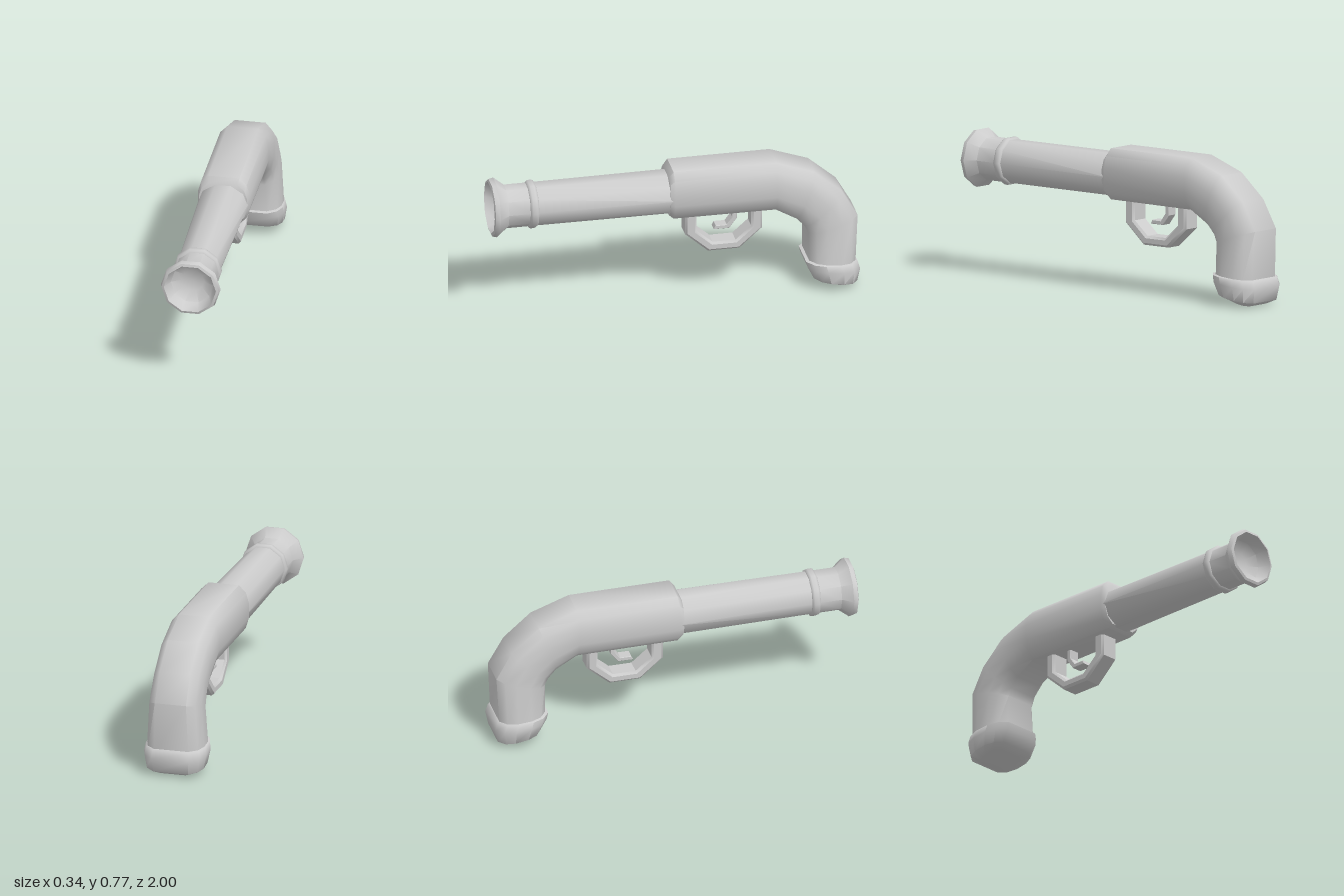
import * as THREE from 'three';
import { toCreasedNormals } from 'three/addons/utils/BufferGeometryUtils.js';

const material = new THREE.MeshStandardMaterial({ color: 0xcccccc });

// Cross-section outlines in unit coordinates, counter-clockwise
const decagon = Array.from({ length: 10 }, (_, i) => {
  const a = (i * Math.PI) / 5;
  return [Math.cos(a), Math.sin(a)];
});
const quarter = [[1, 0.3], [0.88, 0.72], [0.6, 1]];
const mirrored = quarter.map(([u, v]) => [-u, v]).reverse();
const roundedBlock = [...quarter, ...mirrored];
roundedBlock.push(...roundedBlock.map(([u, v]) => [-u, -v]));

// Skin an outline through sections [lowZ, lowY, highZ, highY, halfWidth]
function loft(name, ring, sections, crease) {
  const n = ring.length, pos = [], idx = [];
  for (const [z0, y0, z1, y1, w] of sections) {
    for (const [u, v] of ring) {
      pos.push(u * w, (y0 + y1) / 2 + (v * (y1 - y0)) / 2, (z0 + z1) / 2 + (v * (z1 - z0)) / 2);
    }
  }
  for (let j = 0; j < sections.length - 1; j++) {
    for (let i = 0; i < n; i++) {
      const a = j * n + i, b = j * n + ((i + 1) % n);
      idx.push(a, a + n, b, b, a + n, b + n);
    }
  }
  // end caps
  for (const j of [0, sections.length - 1]) {
    const [z0, y0, z1, y1] = sections[j];
    const c = pos.length / 3;
    pos.push(0, (y0 + y1) / 2, (z0 + z1) / 2);
    for (let i = 0; i < n; i++) {
      const a = j * n + i, b = j * n + ((i + 1) % n);
      if (j === 0) idx.push(c, a, b);
      else idx.push(c, b, a);
    }
  }
  const g = new THREE.BufferGeometry();
  g.setAttribute('position', new THREE.Float32BufferAttribute(pos, 3));
  g.setIndex(idx);
  const mesh = new THREE.Mesh(toCreasedNormals(g, crease), material);
  mesh.name = name;
  return mesh;
}

// Upright section centred on the barrel axis
const AXIS = 0.615;
const round = (z, r, rx = r) => [z, AXIS - r, z, AXIS + r, rx];

// Side profile of [z, y] points extruded across the width
function strap(name, points, width, bevel) {
  const shape = new THREE.Shape(points.map(([z, y]) => new THREE.Vector2(z, y)));
  const g = new THREE.ExtrudeGeometry(shape, {
    depth: width - 2 * bevel, bevelThickness: bevel, bevelSize: bevel,
    bevelOffset: -bevel, bevelSegments: 1,
  });
  g.translate(0, 0, -width / 2 + bevel);
  g.rotateY(-Math.PI / 2);
  const mesh = new THREE.Mesh(toCreasedNormals(g, 0.6), material);
  mesh.name = name;
  return mesh;
}

export function createModel() {
  const group = new THREE.Group();
  group.name = 'pistol';

  // Barrel, running from inside the bore, over the flared lip, back to the body
  group.add(loft('barrel', decagon, [
    round(0.9, 0.06), round(0.935, 0.115), round(1, 0.141),
    round(0.995, 0.155), round(0.97, 0.162), round(0.915, 0.118),
    round(0.78, 0.118), round(0, 0.118, 0.136),
  ], 0.7));

  group.add(loft('barrelCollar', decagon, [
    round(0.8, 0.115), round(0.795, 0.125), round(0.786, 0.131),
    round(0.764, 0.131), round(0.755, 0.126), round(0.75, 0.115),
  ], 0.9));

  // Body curving down into the grip
  group.add(loft('bodyAndGrip', roundedBlock, [
    [0.04, 0.51, 0.04, 0.735, 0.13],
    [0.015, 0.49, 0.015, 0.765, 0.14],
    [-0.54, 0.487, -0.54, 0.765, 0.14],
    [-0.655, 0.42, -0.75, 0.69, 0.14],
    [-0.7, 0.37, -0.9, 0.56, 0.14],
    [-0.718, 0.33, -0.985, 0.41, 0.144],
    [-0.72, 0.13, -0.97, 0.12, 0.16],
  ], 0.85));

  // Rounded butt cap
  group.add(loft('buttCap', roundedBlock, [
    [-0.722, 0.17, -0.97, 0.15, 0.155],
    [-0.703, 0.165, -0.982, 0.143, 0.166],
    [-0.712, 0.13, -0.995, 0.1, 0.172],
    [-0.745, 0.063, -0.98, 0.025, 0.16],
    [-0.79, 0.045, -0.93, 0.002, 0.115],
  ], 1));

  // Trigger guard loop
  group.add(strap('triggerGuard', [
    [-0.055, 0.51], [-0.055, 0.37], [-0.18, 0.26], [-0.35, 0.26], [-0.475, 0.37], [-0.475, 0.51],
    [-0.415, 0.51], [-0.415, 0.385], [-0.33, 0.31], [-0.205, 0.31], [-0.118, 0.385], [-0.118, 0.51],
  ], 0.11, 0.012));

  // Hooked trigger
  group.add(strap('trigger', [
    [-0.34, 0.51], [-0.34, 0.43], [-0.298, 0.375], [-0.215, 0.375],
    [-0.225, 0.397], [-0.285, 0.397], [-0.315, 0.437], [-0.315, 0.51],
  ], 0.06, 0.003));

  return group;
}
